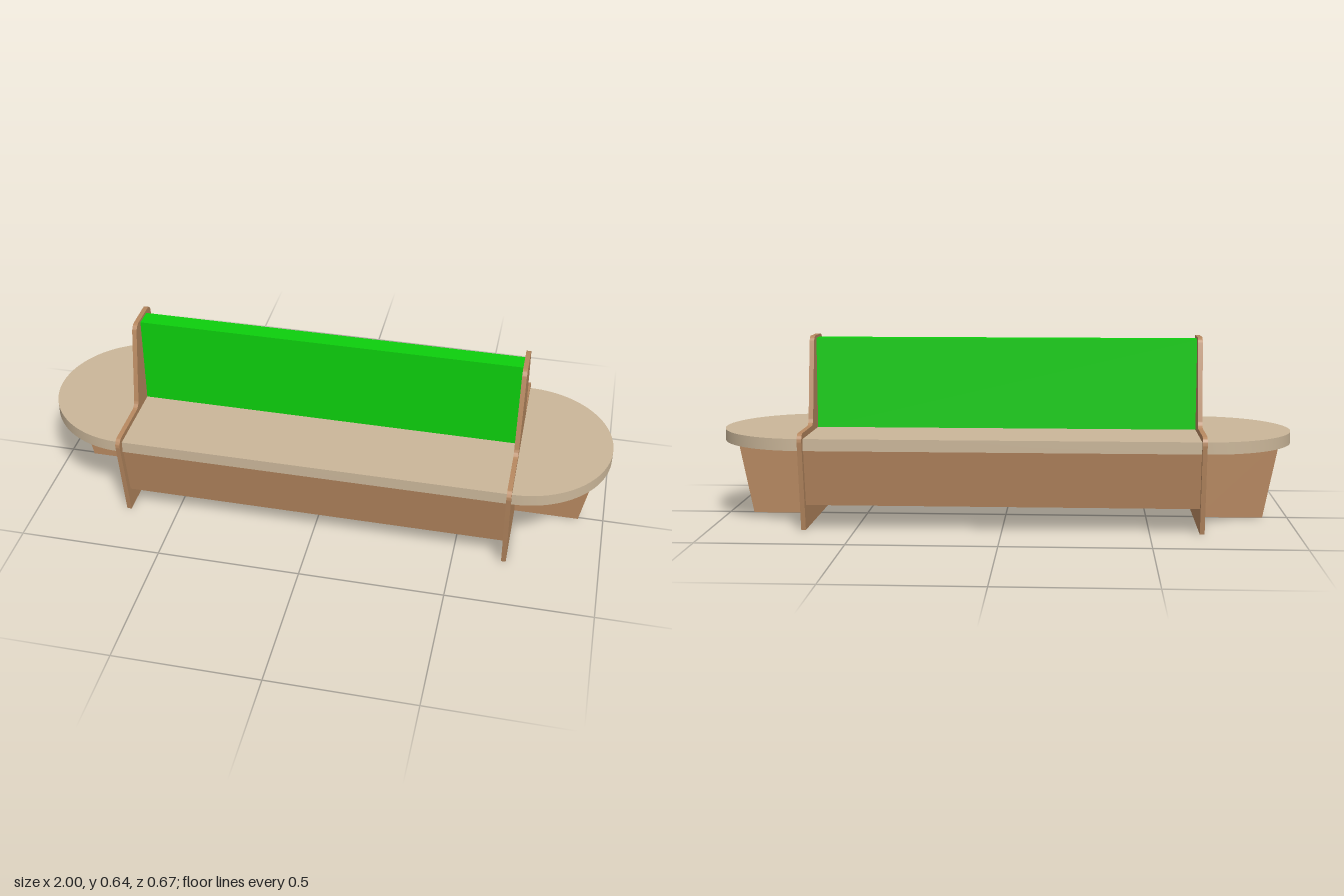
import * as THREE from 'three';
import { toCreasedNormals } from 'three/addons/utils/BufferGeometryUtils.js';

const T = 0.016; // board thickness

// Extrude a shape by depth, centred on the extrusion axis
function slab(shape, depth, curveSegments = 8) {
  const g = new THREE.ExtrudeGeometry(shape, { depth, curveSegments, bevelEnabled: false });
  g.translate(0, 0, -depth / 2);
  return toCreasedNormals(g, 0.5);
}

function polygon(points) {
  return new THREE.Shape(points.map(([x, y]) => new THREE.Vector2(x, y)));
}

export function createModel() {
  const group = new THREE.Group();
  const material = (name, color) => {
    const m = new THREE.MeshStandardMaterial({ color });
    m.name = name;
    return m;
  };
  const wood = material('brown wood', 0xb5875f);
  const seatWood = material('pale wood', 0xcab699);
  const green = material('green', 0x0dcf0d);
  const add = (name, geometry, mat) => {
    const mesh = new THREE.Mesh(geometry, mat);
    mesh.name = name;
    group.add(mesh);
    return mesh;
  };

  // Seat with round ends
  const r = 0.315;
  const seat = new THREE.Shape();
  seat.moveTo(-1 + r, -r);
  seat.lineTo(1 - r, -r);
  seat.absarc(1 - r, 0, r, -Math.PI / 2, Math.PI / 2, false);
  seat.lineTo(-1 + r, r);
  seat.absarc(-1 + r, 0, r, Math.PI / 2, Math.PI * 1.5, false);
  const seatGeometry = slab(seat, 0.041, 32);
  seatGeometry.rotateX(-Math.PI / 2);
  add('seat', seatGeometry, seatWood).position.y = 0.2975;

  // Backrest down the middle
  add('backrest', new THREE.BoxGeometry(1.338, 0.319, 0.064), green).position.y = 0.4755;

  // End panel outline: wide base, rounded shoulders, tapering upright
  const panel = new THREE.Shape();
  panel.moveTo(-0.29, 0);
  panel.lineTo(0.29, 0);
  panel.lineTo(0.337, 0.306);
  panel.bezierCurveTo(0.34, 0.323, 0.329, 0.338, 0.312, 0.338);
  panel.lineTo(0.15, 0.338);
  panel.bezierCurveTo(0.136, 0.338, 0.125, 0.347, 0.122, 0.361);
  panel.lineTo(0.077, 0.622);
  panel.bezierCurveTo(0.074, 0.636, 0.063, 0.645, 0.049, 0.645);
  panel.lineTo(-0.049, 0.645);
  panel.bezierCurveTo(-0.063, 0.645, -0.074, 0.636, -0.077, 0.622);
  panel.lineTo(-0.122, 0.361);
  panel.bezierCurveTo(-0.125, 0.347, -0.136, 0.338, -0.15, 0.338);
  panel.lineTo(-0.312, 0.338);
  panel.bezierCurveTo(-0.329, 0.338, -0.34, 0.323, -0.337, 0.306);
  const panelGeometry = slab(panel, T);
  panelGeometry.rotateY(Math.PI / 2);

  // Fin carrying each round end
  const finGeometry = slab(polygon([[0.68, 0], [0.912, 0], [0.967, 0.278], [0.68, 0.278]]), T);

  // Leaning apron section, in z and y
  const apronGeometry = slab(polygon([[0.264, 0.085], [0.28, 0.085], [0.31, 0.278], [0.294, 0.278]]), 1.338);
  apronGeometry.rotateY(-Math.PI / 2);

  for (const side of [1, -1]) {
    const end = side > 0 ? 'left' : 'right';
    const turn = side > 0 ? 0 : Math.PI;
    add(end + 'EndPanel', panelGeometry, wood).position.x = side * 0.6765;
    add(end + 'Fin', finGeometry, wood).rotation.y = turn;
    add(side > 0 ? 'frontApron' : 'backApron', apronGeometry, wood).rotation.y = turn;
  }
  return group;
}
